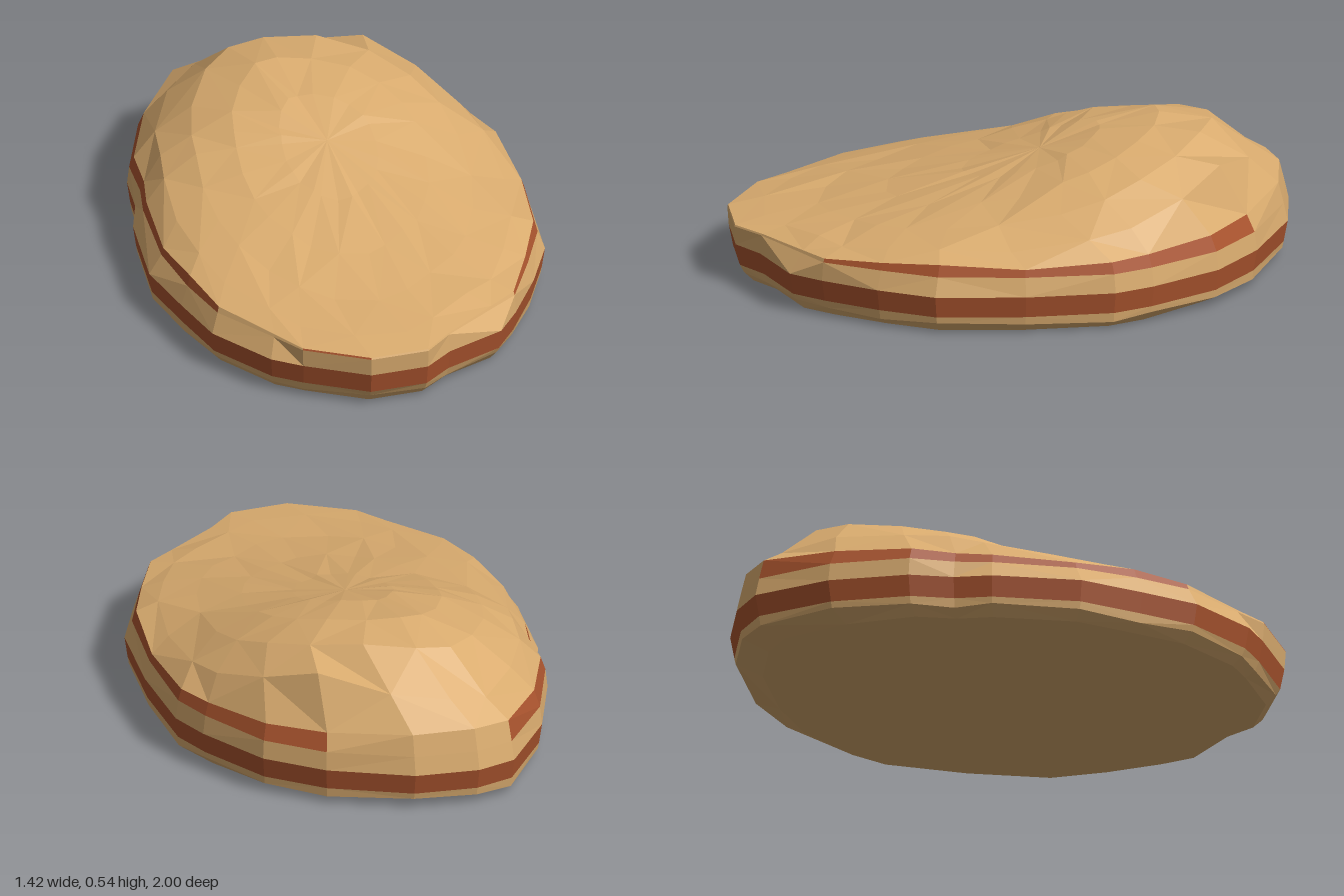
import * as THREE from 'three';

// Widest outline of the stone as [x, z, shoulder scale], clockwise from above, starting at the back
const OUTLINE = [
  [-0.23, -1, 0.985], [0, -0.98, 0.985], [0.29, -0.85, 0.99], [0.48, -0.7, 0.99],
  [0.63, -0.46, 0.985], [0.69, -0.32, 0.985], [0.71, 0, 0.975], [0.69, 0.32, 0.965],
  [0.6, 0.52, 0.97], [0.49, 0.71, 0.99], [0.41, 0.82, 0.94], [0.2, 0.91, 0.99],
  [0.1, 0.99, 1], [-0.11, 1, 1], [-0.33, 0.88, 1], [-0.43, 0.81, 0.95],
  [-0.59, 0.59, 0.955], [-0.65, 0.38, 0.96], [-0.71, 0.15, 0.935], [-0.69, -0.17, 0.95],
  [-0.65, -0.3, 0.975], [-0.64, -0.46, 0.99], [-0.54, -0.73, 0.99], [-0.37, -0.96, 0.985],
];
const N = OUTLINE.length;
const SHOULDER_Y = 0.208;
const { lerp, clamp, smoothstep } = THREE.MathUtils;

// Height profiles along z, as [z, y]: the ridge of the cap and its rim
const RIDGE = [[-1, 0.285], [-0.95, 0.32], [-0.8, 0.435], [-0.71, 0.515], [-0.52, 0.535],
  [-0.26, 0.495], [0, 0.405], [0.4, 0.305], [0.65, 0.255], [1, 0.214]];
const RIM = [[-1, 0.29], [-0.85, 0.272], [-0.5, 0.255], [-0.1, 0.24], [0.1, 0.228],
  [0.3, 0.25], [0.6, 0.226], [0.85, 0.214], [1, 0.214]];

function sample(profile, z) {
  const k = clamp(profile.findIndex((p) => p[0] >= z), 1, profile.length - 1);
  const [z0, y0] = profile[k - 1], [z1, y1] = profile[k];
  return lerp(y0, y1, clamp((z - z0) / (z1 - z0), 0, 1));
}

// Horizontal ring at height y, scaled differently at front, sides and back
const ring = (y, front, side, back) => OUTLINE.map(([x, z]) => {
  const s = z > 0 ? lerp(side, front, smoothstep(z, 0.3, 0.95)) : lerp(side, back, smoothstep(-z, 0.4, 0.95));
  return new THREE.Vector3(x * s, y, z * s);
});

const shoulder = OUTLINE.map(([x, z, s]) => new THREE.Vector3(x * s, SHOULDER_Y, z * s));
const rim = shoulder.map((p) => {
  const y = sample(RIM, p.z);
  const s = 1 - (y - SHOULDER_Y) * (p.z < -0.9 ? 0.25 : 0.5);
  return new THREE.Vector3(p.x * s, y, p.z * s);
});

// Ring of the cap at fraction u of the way from its middle to the rim, domed across x
function capRing(u, twist) {
  return rim.map((edge, i) => {
    const p = edge.clone().lerp(rim[(i + 1) % N], twist);
    p.x *= u;
    p.z = lerp(-0.1, p.z, u);
    const t = Math.min(1, Math.abs(p.x) / (0.69 * Math.sqrt(1 - 0.9 * p.z * p.z)));
    const low = sample(RIM, p.z);
    const bump = 0.004 * Math.sin(i * 2.4 + u * 17) * Math.sign(u);
    p.y = low + (sample(RIDGE, p.z) - low) * (1 - Math.pow(t, 2.7)) + bump;
    return p;
  });
}

// Surface joining a list of rings, from low to high, over chosen segments
function skin(name, material, rings, keep = () => true) {
  const pos = [];
  const tri = (...pts) => pts.forEach((p) => pos.push(p.x, p.y, p.z));
  for (let r = 0; r + 1 < rings.length; r++) {
    const low = rings[r], high = rings[r + 1];
    for (let i = 0; i < N; i++) {
      if (!keep(i)) continue;
      const j = (i + 1) % N;
      if ((i + r) % 2) {
        tri(low[i], high[i], low[j]);
        tri(low[j], high[i], high[j]);
      } else {
        tri(low[i], high[j], low[j]);
        tri(low[i], high[i], high[j]);
      }
    }
  }
  const geometry = new THREE.BufferGeometry();
  geometry.setAttribute('position', new THREE.Float32BufferAttribute(pos, 3));
  geometry.computeVertexNormals();
  const mesh = new THREE.Mesh(geometry, material);
  mesh.name = name;
  return mesh;
}

export function createModel() {
  const tan = new THREE.MeshStandardMaterial({ color: 0xdaac6f, flatShading: true });
  tan.name = 'sandstone';
  const red = new THREE.MeshStandardMaterial({ color: 0xaa542e, flatShading: true });
  red.name = 'rustStratum';

  // Wall rings
  const centre = OUTLINE.map(() => new THREE.Vector3(0, 0.008, 0));
  const sole = ring(0, 0.93, 0.93, 0.88);
  const foot = ring(0.033, 0.965, 0.98, 0.98);
  foot.forEach((p, i) => { p.y += 0.007 * Math.sin(i * 2.1); });
  const bandLow = ring(0.062, 0.98, 0.985, 0.985);
  const bandHigh = ring(0.14, 0.995, 1, 1);

  // The upper stratum fades out across the back and most of the front lip
  const hasStratum = (i) => (i >= 2 && i <= 8) || i === 13 || (i >= 16 && i <= 22);

  const rock = new THREE.Group();
  rock.name = 'layeredRock';
  rock.add(
    skin('underside', tan, [centre, sole]),
    skin('foot', tan, [sole, foot, bandLow]),
    skin('lowerStratum', red, [bandLow, bandHigh]),
    skin('middleLayer', tan, [bandHigh, shoulder]),
    skin('upperStratum', red, [shoulder, rim], hasStratum),
    skin('rimStone', tan, [shoulder, rim], (i) => !hasStratum(i)),
    skin('cap', tan, [rim, capRing(0.9, 0.2), capRing(0.72, 0.5), capRing(0.5, 0.3), capRing(0.25, 0), capRing(0, 0)]),
  );
  return rock;
}
